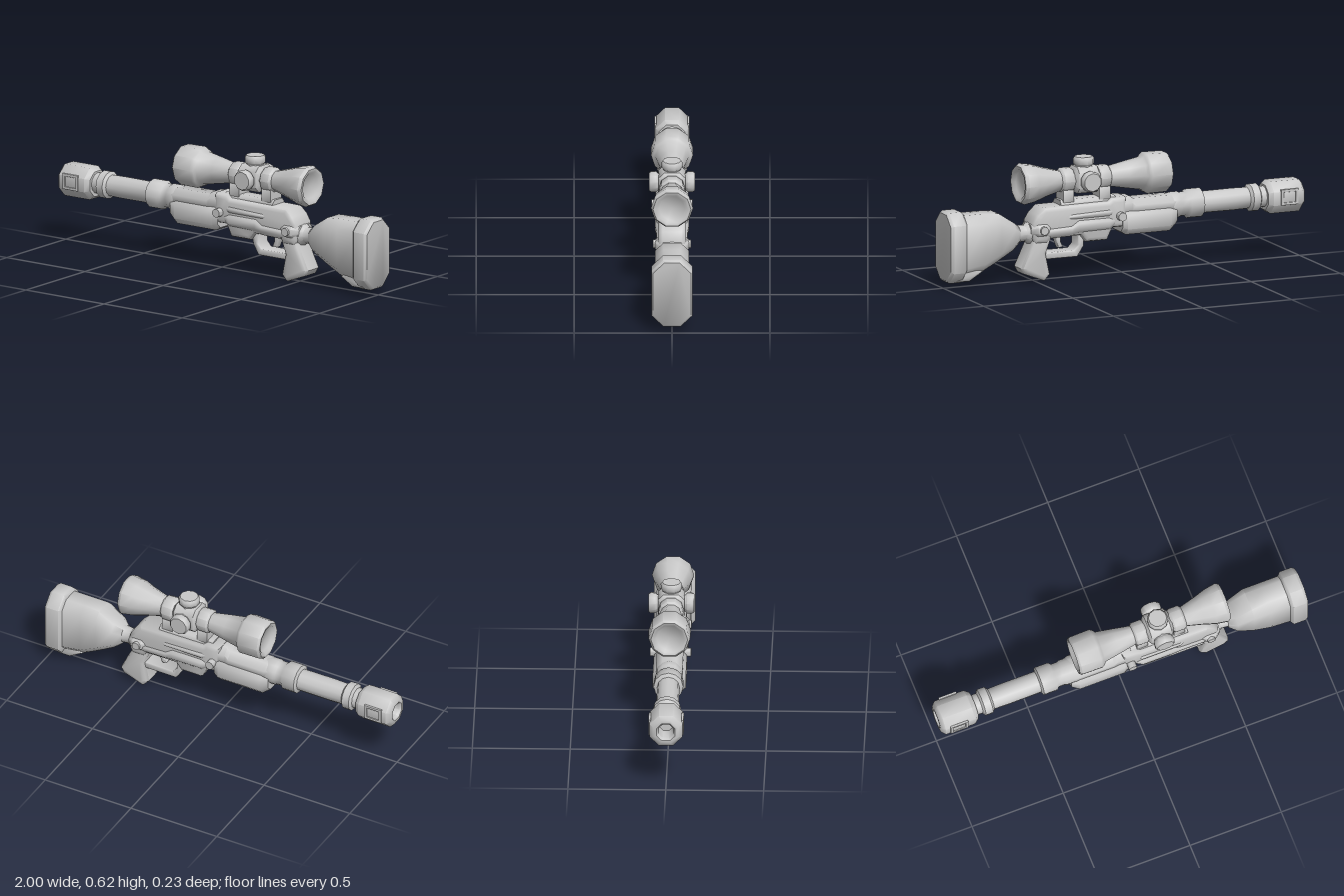
import * as THREE from 'three';
import { toCreasedNormals } from 'three/addons/utils/BufferGeometryUtils.js';

export function createModel() {
  const model = new THREE.Group();
  model.name = 'scopedRifle';
  const grey = new THREE.MeshStandardMaterial({ color: 0xc8c8c8 });
  grey.name = 'plain light grey';

  const add = (name, geometry, x = 0, y = 0, z = 0) => {
    const mesh = new THREE.Mesh(toCreasedNormals(geometry, 0.9), grey);
    mesh.name = name;
    mesh.position.set(x, y, z);
    model.add(mesh);
  };

  // Round part along x from [x, radius] pairs
  const turned = (name, profile, y, sides = 12) => {
    const g = new THREE.LatheGeometry(profile.map(([x, r]) => new THREE.Vector2(r, x)), sides);
    add(name, g.rotateZ(-Math.PI / 2), 0, y, 0);
  };

  // Chamfered-box sections joined along x: [x, bottom, top, halfWidth, chamfer]
  const loft = (name, sections) => {
    const pos = [], idx = [], n = 8;
    for (const [x, lo, hi, w, c] of sections) {
      for (const [y, z] of [[hi, -w + c], [hi, w - c], [hi - c, w], [lo + c, w],
        [lo, w - c], [lo, -w + c], [lo + c, -w], [hi - c, -w]]) pos.push(x, y, z);
    }
    const last = (sections.length - 1) * n;
    for (let s = 0; s < last; s += n) {
      for (let j = 0; j < n; j++) {
        const a = s + j, b = s + (j + 1) % n;
        idx.push(a, b, a + n, b, b + n, a + n);
      }
    }
    for (let j = 1; j < n - 1; j++) idx.push(0, j + 1, j, last, last + j, last + j + 1);
    const g = new THREE.BufferGeometry();
    g.setAttribute('position', new THREE.Float32BufferAttribute(pos, 3));
    g.setIndex(idx);
    add(name, g);
  };

  // Side outline given thickness, with bevelled edges
  const slab = (name, points, halfWidth, bevel, hole, z = 0) => {
    const vec = (list) => list.map(([x, y]) => new THREE.Vector2(x, y));
    const shape = new THREE.Shape(vec(points));
    if (hole) shape.holes.push(new THREE.Path(vec(hole)));
    const depth = 2 * (halfWidth - bevel);
    const g = new THREE.ExtrudeGeometry(shape, {
      depth, bevelEnabled: true, bevelThickness: bevel, bevelSize: bevel,
      bevelOffset: -bevel, bevelSegments: 2,
    });
    add(name, g.translate(0, 0, -depth / 2), 0, 0, z);
  };

  // Muzzle with a bore and framed side ports
  loft('muzzleBrake', [
    [-0.9, 0.29, 0.36, 0.035, 0.02], [-0.985, 0.288, 0.362, 0.037, 0.021],
    [-1, 0.278, 0.372, 0.047, 0.026], [-1, 0.262, 0.388, 0.064, 0.038],
    [-0.98, 0.242, 0.408, 0.084, 0.048], [-0.82, 0.242, 0.408, 0.084, 0.048],
    [-0.795, 0.26, 0.39, 0.066, 0.036],
  ]);
  for (const side of [-1, 1]) {
    slab('muzzlePortFrame',
      [[-0.955, 0.29], [-0.858, 0.29], [-0.858, 0.372], [-0.955, 0.372]], 0.006, 0.002,
      [[-0.94, 0.303], [-0.94, 0.358], [-0.872, 0.358], [-0.872, 0.303]], side * 0.084);
  }

  // Barrel and its collars
  turned('barrel', [
    [-0.82, 0], [-0.82, 0.055], [-0.765, 0.055], [-0.755, 0.072], [-0.715, 0.072],
    [-0.703, 0.056], [-0.62, 0.058], [-0.445, 0.057], [-0.437, 0.076], [-0.365, 0.076],
    [-0.352, 0.063], [-0.32, 0.063], [-0.31, 0.068], [-0.27, 0.068], [-0.2, 0.05], [-0.2, 0],
  ], 0.328);

  // Fore-end
  loft('upperHandguard', [
    [-0.29, 0.29, 0.375, 0.058, 0.02], [-0.26, 0.29, 0.388, 0.068, 0.032],
    [-0.05, 0.29, 0.388, 0.068, 0.032], [-0.03, 0.29, 0.402, 0.066, 0.03],
    [0.09, 0.29, 0.402, 0.066, 0.03],
  ]);
  loft('lowerHandguard', [
    [-0.285, 0.235, 0.335, 0.066, 0.025], [-0.245, 0.206, 0.342, 0.085, 0.032],
    [0.0, 0.206, 0.342, 0.085, 0.032], [0.025, 0.222, 0.332, 0.074, 0.026],
  ]);

  // Receiver and raised side details
  slab('receiver', [
    [0, 0.25], [0.075, 0.25], [0.105, 0.188], [0.225, 0.188], [0.255, 0.225], [0.42, 0.225],
    [0.44, 0.2], [0.51, 0.2], [0.525, 0.23], [0.525, 0.31], [0.5, 0.35], [0.46, 0.386],
    [0.1, 0.39], [0.08, 0.405], [0, 0.405],
  ], 0.072, 0.024);
  loft('lowerReceiver', [
    [0.06, 0.255, 0.31, 0.068, 0.02], [0.1, 0.238, 0.315, 0.086, 0.024],
    [0.27, 0.235, 0.315, 0.086, 0.024], [0.31, 0.225, 0.295, 0.08, 0.024],
    [0.44, 0.222, 0.29, 0.08, 0.024], [0.47, 0.235, 0.28, 0.066, 0.02],
  ]);
  loft('sideRail', [
    [0.07, 0.32, 0.35, 0.066, 0.01], [0.1, 0.31, 0.352, 0.08, 0.014],
    [0.31, 0.31, 0.345, 0.08, 0.014], [0.335, 0.315, 0.335, 0.068, 0.008],
  ]);
  loft('rearReceiver', [
    [0.42, 0.25, 0.3, 0.066, 0.02], [0.45, 0.225, 0.318, 0.086, 0.03],
    [0.5, 0.225, 0.318, 0.086, 0.03], [0.53, 0.24, 0.3, 0.062, 0.02],
  ]);
  for (const [x, y, r, length] of [[0.038, 0.31, 0.023, 0.21], [0.472, 0.272, 0.022, 0.194]]) {
    add('crossPin', new THREE.CylinderGeometry(r, r, length, 10).rotateX(Math.PI / 2), x, y);
  }

  // Trigger, guard and grip
  slab('triggerGuard', [
    [0.225, 0.23], [0.23, 0.165], [0.265, 0.112], [0.45, 0.112], [0.45, 0.147],
    [0.285, 0.147], [0.262, 0.172], [0.262, 0.23],
  ], 0.045, 0.008);
  slab('trigger', [
    [0.335, 0.165], [0.36, 0.16], [0.373, 0.195], [0.385, 0.235], [0.35, 0.235], [0.347, 0.19],
  ], 0.02, 0.005);
  slab('grip', [
    [0.41, 0.24], [0.445, 0.145], [0.422, 0.035], [0.452, 0.002], [0.565, 0.045],
    [0.582, 0.075], [0.525, 0.195], [0.51, 0.25],
  ], 0.063, 0.022);

  // Shoulder stock and butt pad
  turned('stockNeck', [[0.5, 0], [0.5, 0.062], [0.53, 0.055], [0.545, 0.042],
    [0.585, 0.045], [0.62, 0.06], [0.62, 0]], 0.25);
  loft('stock', [
    [0.585, 0.205, 0.29, 0.045, 0.02], [0.625, 0.178, 0.32, 0.075, 0.03],
    [0.71, 0.13, 0.375, 0.088, 0.04], [0.8, 0.08, 0.38, 0.088, 0.045],
    [0.93, 0.06, 0.38, 0.088, 0.045],
  ]);
  slab('stockHeel', [[0.8, 0.082], [0.875, 0.036], [0.95, 0.036], [0.95, 0.12], [0.86, 0.12]],
    0.062, 0.015);
  loft('buttPad', [
    [0.905, 0.06, 0.385, 0.088, 0.045], [0.92, 0.033, 0.4, 0.105, 0.06],
    [0.985, 0.033, 0.4, 0.105, 0.06], [1, 0.046, 0.39, 0.096, 0.056],
  ]);

  // Telescopic sight with shallow lenses at both ends
  turned('scopeTube', [
    [-0.232, 0], [-0.232, 0.066], [-0.246, 0.078], [-0.25, 0.094], [-0.238, 0.106],
    [-0.13, 0.108], [-0.115, 0.098], [-0.105, 0.085], [-0.02, 0.07], [0.075, 0.052], [0.085, 0.064],
    [0.135, 0.064], [0.145, 0.055], [0.28, 0.055], [0.29, 0.066], [0.34, 0.066],
    [0.352, 0.054], [0.44, 0.078], [0.5, 0.098], [0.56, 0.108], [0.578, 0.097],
    [0.576, 0.08], [0.562, 0.066], [0.56, 0],
  ], 0.508, 10);
  loft('turretBlock', [
    [0.135, 0.465, 0.55, 0.046, 0.02], [0.155, 0.44, 0.576, 0.068, 0.028],
    [0.265, 0.44, 0.576, 0.068, 0.028], [0.285, 0.465, 0.55, 0.046, 0.02],
  ]);

  // Adjustment knobs on the top and both sides
  for (const angle of [0, Math.PI / 2, -Math.PI / 2]) {
    const knob = new THREE.LatheGeometry([[0, 0.05], [0.045, 0.05], [0.045, 0.072], [0.054, 0.08],
      [0.055, 0.106], [0.047, 0.117], [0, 0.117]].map(([r, y]) => new THREE.Vector2(r, y)), 10);
    add('adjustmentKnob', knob.rotateX(angle), 0.212, 0.507);
  }

  // Scope feet and rail
  for (const x of [0.112, 0.315]) {
    loft('scopeMount', [
      [x - 0.03, 0.37, 0.475, 0.045, 0.012], [x + 0.03, 0.37, 0.475, 0.045, 0.012],
    ]);
  }
  loft('scopeRail', [[0.05, 0.36, 0.412, 0.048, 0.016], [0.36, 0.36, 0.412, 0.048, 0.016]]);

  return model;
}
